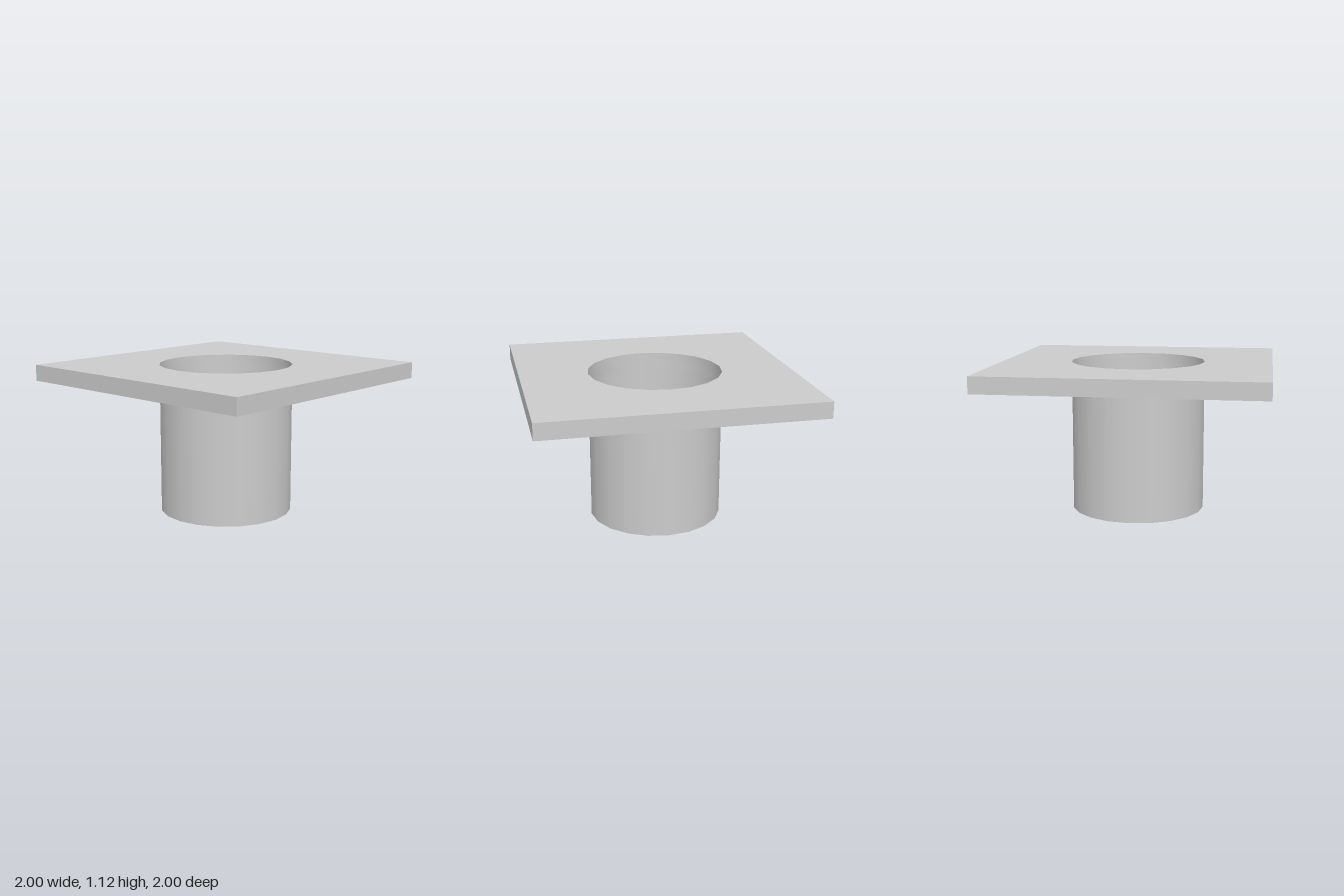
import * as THREE from 'three';
import { toCreasedNormals } from 'three/addons/utils/BufferGeometryUtils.js';

const SIDES = 20, RADIUS = 0.5, CUP_HEIGHT = 1, PLATE = 0.12;

export function createModel() {
  const group = new THREE.Group();
  const solid = new THREE.MeshStandardMaterial({ color: 0xcccccc });
  const thin = new THREE.MeshStandardMaterial({ color: 0xcccccc, side: THREE.DoubleSide });

  const add = (name, geometry, material) => {
    const mesh = new THREE.Mesh(geometry, material);
    mesh.name = name;
    group.add(mesh);
    return mesh;
  };

  // Square flange plate with a round opening
  const square = new THREE.Shape([[-1, -1], [1, -1], [1, 1], [-1, 1]].map(([x, y]) => new THREE.Vector2(x, y)));
  const rim = [];
  for (let i = 0; i < SIDES; i++) {
    const a = -i / SIDES * Math.PI * 2;
    rim.push(new THREE.Vector2(Math.cos(a) * RADIUS, Math.sin(a) * RADIUS));
  }
  square.holes.push(new THREE.Path(rim));
  const plate = new THREE.ExtrudeGeometry(square, { depth: PLATE, bevelEnabled: false });
  plate.rotateX(-Math.PI / 2);
  add('flangePlate', toCreasedNormals(plate, 0.6), solid).position.y = CUP_HEIGHT;

  // Thin round wall below the opening
  const wall = new THREE.CylinderGeometry(RADIUS, RADIUS, CUP_HEIGHT, SIDES, 1, true);
  add('cupWall', wall, thin).position.y = CUP_HEIGHT / 2;

  // Closed floor of the cup
  const floor = new THREE.CircleGeometry(RADIUS, SIDES);
  floor.rotateX(Math.PI / 2);
  add('cupFloor', floor, thin);

  return group;
}
